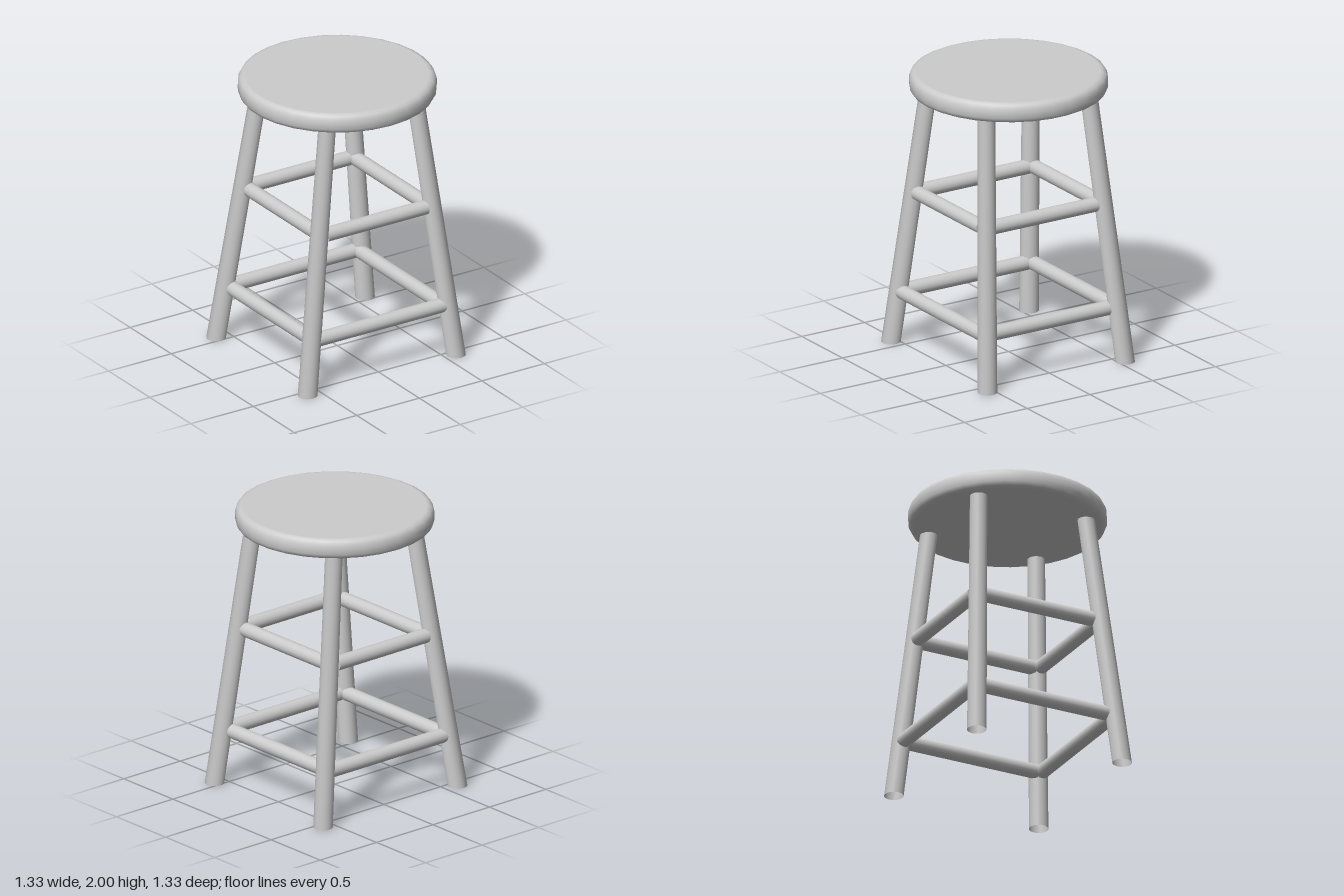
import * as THREE from 'three';

const material = new THREE.MeshStandardMaterial({ color: 0xcccccc });
const openMaterial = new THREE.MeshStandardMaterial({ color: 0xcccccc, side: THREE.DoubleSide });

const SEAT_BOTTOM = 1.86;

// Foot and top centre of each leg; the splay is slightly uneven.
const LEGS = [
  { name: 'frontLeftLeg', foot: [0.588, 0.55], top: [0.36, 0.41] },
  { name: 'frontRightLeg', foot: [-0.598, 0.55], top: [-0.35, 0.41] },
  { name: 'backLeftLeg', foot: [0.583, -0.55], top: [0.36, -0.405] },
  { name: 'backRightLeg', foot: [-0.605, -0.555], top: [-0.35, -0.405] },
];

function addMesh(group, name, geometry, mat = material) {
  const mesh = new THREE.Mesh(geometry, mat);
  mesh.name = name;
  group.add(mesh);
  return mesh;
}

// Sheared, open-ended cylinder: leans outward yet stands flat on the floor.
function legGeometry(foot, top) {
  const height = SEAT_BOTTOM + 0.02;
  const g = new THREE.CylinderGeometry(0.059, 0.066, height, 20, 1, true);
  const p = g.attributes.position;
  for (let i = 0; i < p.count; i++) {
    const y = p.getY(i) + height / 2;
    const t = y / SEAT_BOTTOM;
    p.setXYZ(
      i,
      p.getX(i) + THREE.MathUtils.lerp(foot[0], top[0], t),
      y,
      p.getZ(i) + THREE.MathUtils.lerp(foot[1], top[1], t)
    );
  }
  g.computeBoundingSphere();
  return g;
}

export function createModel() {
  const stool = new THREE.Group();
  stool.name = 'stool';

  // Round seat with softened rims
  const profile = [
    [0, 1.86], [0.615, 1.86], [0.63, 1.861], [0.652, 1.872], [0.666, 1.897],
    [0.667, 1.93], [0.666, 1.962], [0.652, 1.988], [0.63, 1.999], [0.615, 2], [0, 2],
  ].map(([x, y]) => new THREE.Vector2(x, y));
  addMesh(stool, 'seat', new THREE.LatheGeometry(profile, 30));

  // Four splayed legs
  for (const { name, foot, top } of LEGS) {
    addMesh(stool, name, legGeometry(foot, top), openMaterial);
  }

  // Two rings of rungs; xr and xl are the side rung positions, z the front and back ones
  const rings = [
    { name: 'lower', y: 0.375, xl: 0.507, xr: -0.53, z: 0.523, endX: 0.508, endZ: 0.49 },
    { name: 'upper', y: 1.1, xl: 0.435, xr: -0.43, z: 0.467, endX: 0.4, endZ: 0.435 },
  ];
  for (const { name, y, xl, xr, z, endX, endZ } of rings) {
    const along = new THREE.CylinderGeometry(0.05, 0.05, endX * 2, 16).rotateZ(Math.PI / 2);
    const across = new THREE.CylinderGeometry(0.05, 0.05, endZ * 2, 16).rotateX(Math.PI / 2);
    addMesh(stool, `${name}FrontRung`, along).position.set(0, y, z);
    addMesh(stool, `${name}BackRung`, along).position.set(0, y, -z);
    addMesh(stool, `${name}LeftRung`, across).position.set(xl, y, 0);
    addMesh(stool, `${name}RightRung`, across).position.set(xr, y, 0);
  }

  return stool;
}
